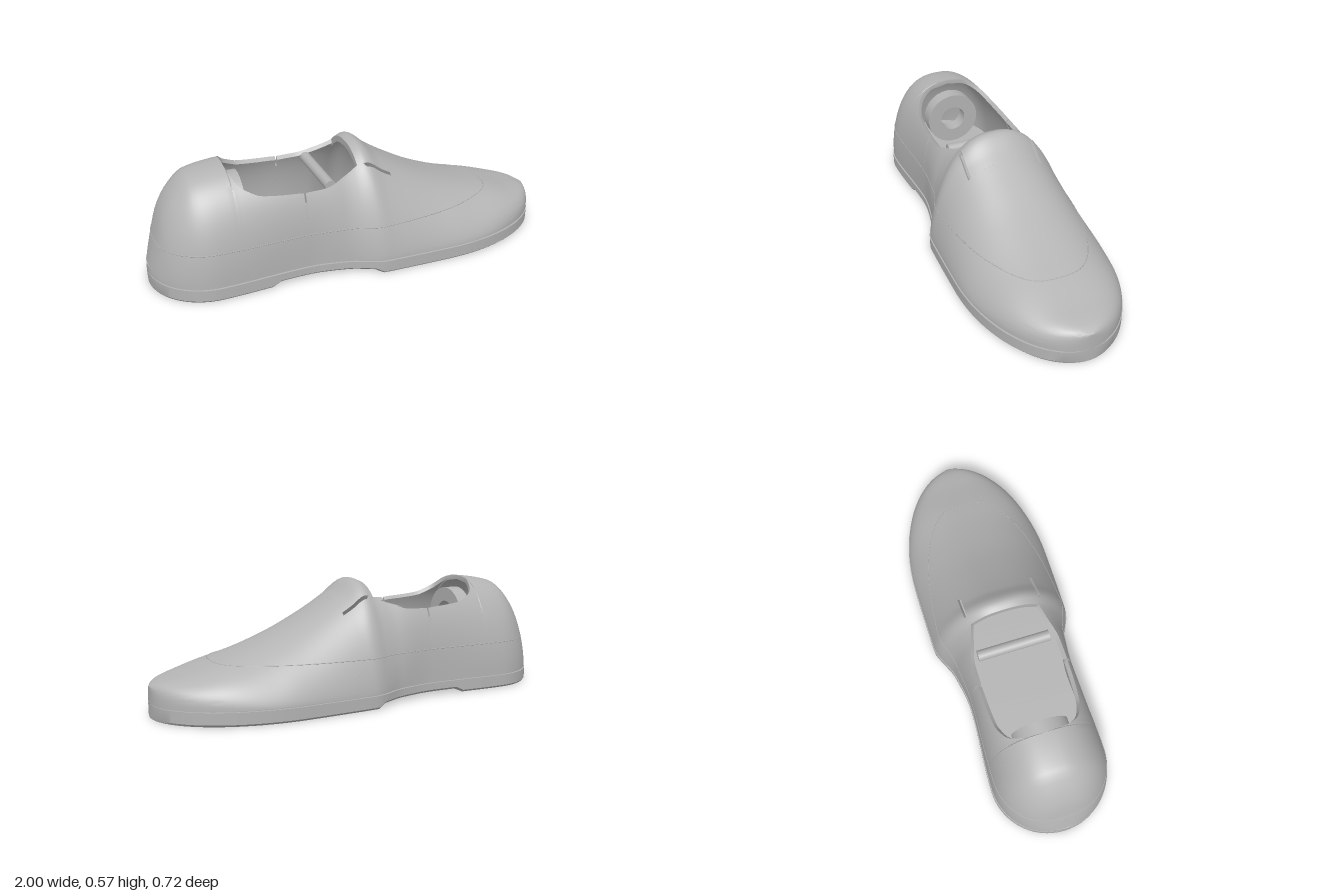
import * as THREE from 'three';
import { mergeGeometries, toCreasedNormals } from 'three/addons/utils/BufferGeometryUtils.js';

// Smooth monotone interpolation through [x, value] points
function curve(pts) {
  const d = pts.slice(1).map((p, i) => (p[1] - pts[i][1]) / (p[0] - pts[i][0]));
  const m = pts.map((_, i) => {
    if (i === 0) return d[0];
    if (i === d.length) return d[i - 1];
    return d[i - 1] * d[i] <= 0 ? 0 : (2 * d[i - 1] * d[i]) / (d[i - 1] + d[i]);
  });
  return (x) => {
    if (x <= pts[0][0]) return pts[0][1];
    if (x >= pts[pts.length - 1][0]) return pts[pts.length - 1][1];
    let i = 0;
    while (x > pts[i + 1][0]) i++;
    const h = pts[i + 1][0] - pts[i][0], t = (x - pts[i][0]) / h, u = 1 - t;
    return pts[i][1] * u * u * (1 + 2 * t) + pts[i + 1][1] * t * t * (3 - 2 * t)
      + h * (m[i] * t * u * u - m[i + 1] * t * t * u);
  };
}

const BASE = 0.07;
const girth = curve([[-1, 0.283], [-0.72, 0.283], [-0.3, 0.262], [-0.12, 0.288], [0.06, 0.353], [0.4, 0.358], [1, 0.358]]);
const top = curve([[-1, 0.08], [-0.985, 0.14], [-0.96, 0.23], [-0.92, 0.36], [-0.86, 0.455], [-0.78, 0.52],
  [-0.62, 0.545], [-0.3, 0.56], [-0.03, 0.553], [0.01, 0.567], [0.1, 0.505], [0.2, 0.442], [0.4, 0.338],
  [0.6, 0.264], [0.72, 0.23], [0.85, 0.192], [0.96, 0.165], [1, 0.145]]);
const rim = curve([[-0.62, 0.545], [-0.61, 0.525], [-0.58, 0.483], [-0.55, 0.465], [-0.5, 0.443], [-0.4, 0.432],
  [-0.304, 0.425], [-0.303, 0.385], [-0.296, 0.385], [-0.295, 0.425], [-0.2, 0.428], [-0.1, 0.458], [0, 0.503]]);
const power = curve([[-1, 1.4], [-0.75, 2], [-0.62, 2.2], [-0.3, 3], [0, 1.4], [0.5, 1.4], [1, 3]]);
const bulge = curve([[-1, 0.4], [0.5, 0.4], [1, 0.3]]);

// Half width of the plan outline, with a round heel and toe
function halfWidth(x) {
  const e = x < -0.72 ? (x + 0.72) / 0.28 : x > 0.4 ? (x - 0.4) / 0.6 : 0;
  return girth(x) * Math.sqrt(Math.max(0, 1 - e * e));
}

// Point [z, y] of the upper at station x and angle a (0 = left base, PI = right base)
function upperPoint(x, a, inset) {
  const c = Math.cos(a), w = Math.max(0, halfWidth(x) - inset);
  const rise = Math.max(0, top(x) - inset - BASE);
  return [Math.sign(c) * w * Math.abs(c) ** (2 * bulge(x)),
    BASE + rise * Math.max(0, Math.sin(a)) ** (2 / power(x))];
}
const level = (x, y) => Math.min(1, Math.max(0, (y - BASE) / (top(x) - BASE)));
const angleAtY = (x, y) => Math.asin(level(x, y) ** (power(x) / 2));
const angleAtZ = (x, z) => Math.acos(Math.min(1, z / halfWidth(x)) ** (1 / (2 * bulge(x))));

// Closed solid through loops of [z, y] points placed along x
function loft(xs, loopAt) {
  const pos = [], idx = [];
  let L = 0;
  for (const x of xs) {
    const loop = loopAt(x);
    L = loop.length;
    for (const [z, y] of loop) pos.push(x, y, z);
  }
  for (let s = 0; s < xs.length - 1; s++) {
    for (let i = 0; i < L; i++) {
      const j = (i + 1) % L, a = s * L, b = a + L;
      idx.push(a + i, b + i, b + j, a + i, b + j, a + j);
    }
  }
  const e = (xs.length - 1) * L;
  for (let i = 0; i < L / 2 - 1; i++) {
    const p = i + 1, q = L - 2 - i, r = L - 1 - i;
    idx.push(i, p, q, i, q, r, e + i, e + q, e + p, e + i, e + r, e + q);
  }
  const g = new THREE.BufferGeometry();
  g.setAttribute('position', new THREE.Float32BufferAttribute(pos, 3));
  g.setIndex(idx);
  return g;
}

// Piece of the upper with wall thickness, between two angles
function shell(xs, from, to, n, thick) {
  return loft(xs, (x) => {
    const outer = [], inner = [], a0 = from(x), a1 = to(x);
    for (let i = 0; i <= n; i++) {
      const a = a0 + (a1 - a0) * i / n;
      outer.push(upperPoint(x, a, 0));
      inner.unshift(upperPoint(x, a, thick));
    }
    return outer.concat(inner);
  });
}

// Flat slab that follows the plan outline
function slab(xs, grow, bottom, y1, chamfer) {
  return loft(xs, (x) => {
    const w = Math.max(0, halfWidth(x) + (halfWidth(x) > 0 ? grow : 0));
    const v = Math.max(0, w - chamfer), y0 = bottom(x);
    return [[v, y0], [w, y0 + chamfer], [w, y1], [-w, y1], [-w, y0 + chamfer], [-v, y0]];
  });
}

const range = (a, b, n, f = (t) => t) => Array.from({ length: n + 1 }, (_, i) => a + (b - a) * f(i / n));
const easeStart = (t) => 1 - Math.cos(t * Math.PI / 2);
const easeEnd = (t) => Math.sin(t * Math.PI / 2);
const sortUnique = (xs) => [...new Set(xs.map((x) => +x.toFixed(5)))].sort((a, b) => a - b);

export function createModel() {
  const shoe = new THREE.Group();
  shoe.name = 'shoe';
  const grey = new THREE.MeshStandardMaterial({ color: 0xb4b4b4 });
  grey.name = 'grey';
  const add = (name, geometry) => {
    const mesh = new THREE.Mesh(geometry, grey);
    mesh.name = name;
    shoe.add(mesh);
    return mesh;
  };
  const zero = () => 0, half = () => Math.PI;

  // Upper: closed heel, two side walls, lip between the slits, closed toe
  const slitEnd = 0.14, N = 24;
  const heelXs = range(-1, -0.62, 24, easeStart);
  const sideXs = sortUnique([...range(-0.62, 0, 40), ...range(0, slitEnd, 8),
    -0.615, -0.61, -0.304, -0.303, -0.296, -0.295]);
  const toeXs = range(slitEnd, 1, 40, easeEnd);
  const edge = (x) => (x <= 0 ? angleAtY(x, rim(x)) : angleAtZ(x, 0.187));
  const lipEdge = (x) => angleAtZ(x, 0.173);
  const upper = mergeGeometries([
    shell(heelXs, zero, half, 2 * N, 0.02),
    shell(sideXs, zero, edge, N, 0.02),
    shell(sideXs, (x) => Math.PI - edge(x), half, N, 0.02),
    shell(range(-0.025, slitEnd, 12), lipEdge, (x) => Math.PI - lipEdge(x), N, 0.03),
    shell(toeXs, zero, half, 2 * N, 0.02),
  ]);
  add('upper', toCreasedNormals(upper, 0.6));

  // Sole with a raised arch, a recessed welt and the inner floor
  const planXs = sortUnique([...heelXs, ...range(-0.62, 0.4, 34), ...range(0.4, 1, 30, easeEnd), -0.48, -0.44, 0, 0.04]);
  const arch = (x) => 0.02 * Math.max(0, Math.min(1, (x + 0.48) / 0.04, (0.04 - x) / 0.04));
  add('sole', toCreasedNormals(slab(planXs, 0.004, arch, 0.064, 0.01), 0.5));
  add('welt', toCreasedNormals(slab(planXs, -0.006, () => 0.06, 0.073, 0), 0.5));
  add('insole', toCreasedNormals(slab(planXs, -0.012, () => 0.071, 0.1, 0), 0.5));

  // Raised seam running level around the upper
  const seamY = 0.23, seam = [];
  const seamXs = range(-0.96, 0.72, 60, (t) => (1 - Math.cos(t * Math.PI)) / 2);
  const seamZ = (x) => halfWidth(x) * (1 - level(x, seamY) ** power(x)) ** bulge(x);
  for (const x of seamXs) seam.push(new THREE.Vector3(x, seamY, seamZ(x)));
  for (const x of seamXs.slice(1, -1).reverse()) seam.push(new THREE.Vector3(x, seamY, -seamZ(x)));
  add('seam', new THREE.TubeGeometry(new THREE.CatmullRomCurve3(seam, true), 240, 0.002, 5, true));

  // Ring inside the heel
  const disc = new THREE.Shape().absarc(0, 0, 0.135, 0, Math.PI * 2);
  disc.holes.push(new THREE.Path().absarc(0, 0, 0.065, 0, Math.PI * 2, true));
  const ring = add('heelRing', new THREE.ExtrudeGeometry(disc, { depth: 0.07, bevelEnabled: false, curveSegments: 32 }));
  ring.rotation.y = Math.PI / 2;
  ring.position.set(-0.62, 0.35, 0);

  // Bar across the opening
  const bar = add('crossBar', new THREE.CylinderGeometry(0.026, 0.026, 0.35, 24));
  bar.rotation.x = Math.PI / 2;
  bar.position.set(-0.16, 0.415, 0);

  return shoe;
}
